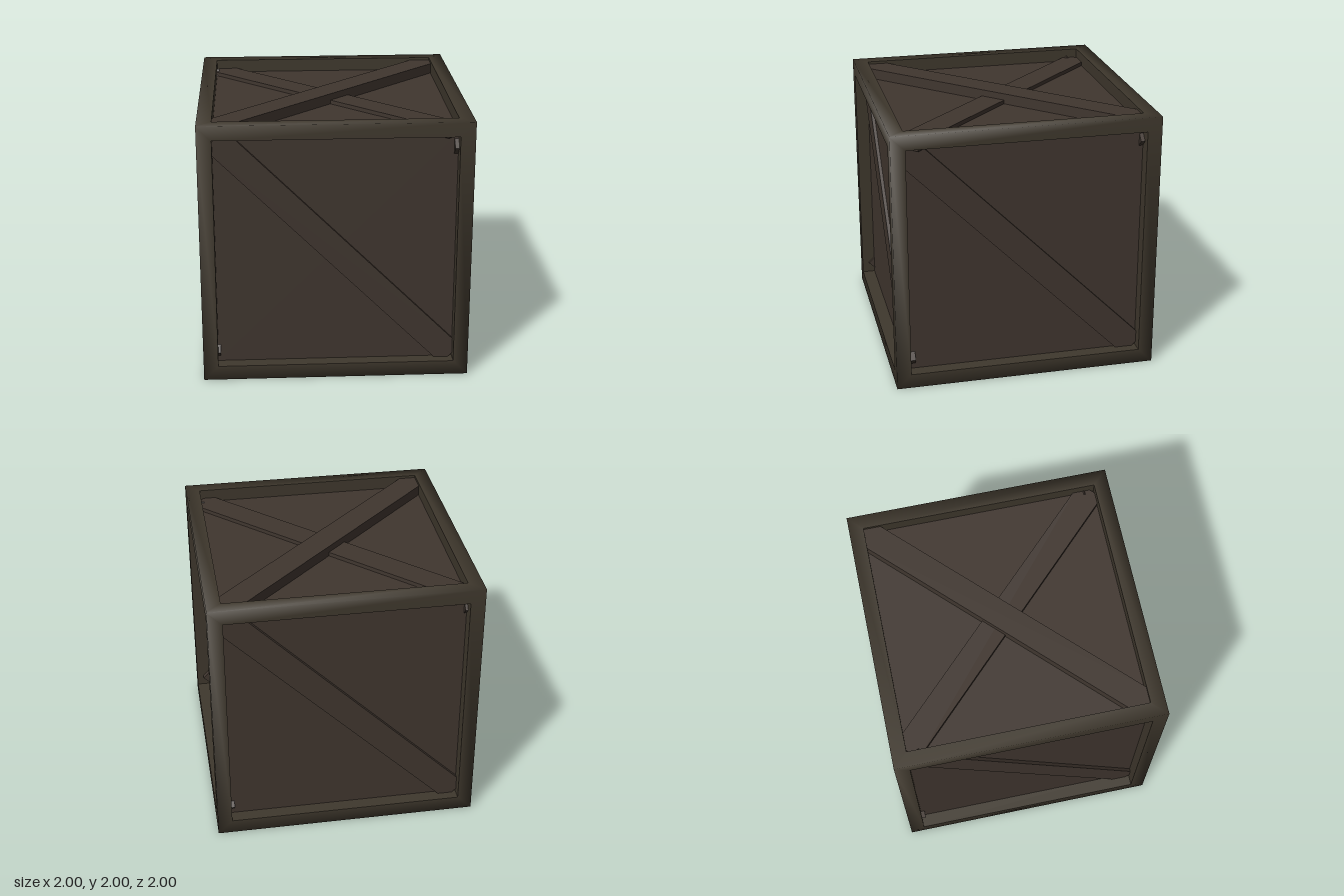
import * as THREE from 'three';

const wood = new THREE.MeshStandardMaterial({ color: 0x40362f });
wood.name = 'dark wood';
const frameWood = new THREE.MeshStandardMaterial({ color: 0x3f382d });
frameWood.name = 'frame wood';

const OPEN = 0.89;   // half size of each opening
const PANEL = 0.9;   // distance of the panels from the centre
const S = [[-1, -1], [1, -1], [1, 1], [-1, 1]];

// Four quads joining square a (half size ra at height za) to square b
function squareRing(ra, za, rb, zb, smooth) {
  const pos = [], index = [], nor = [];
  for (let i = 0; i < 4; i++) {
    const p = S[i], q = S[(i + 1) % 4], k = i * 4;
    pos.push(p[0] * ra, p[1] * ra, za, q[0] * ra, q[1] * ra, za,
      q[0] * rb, q[1] * rb, zb, p[0] * rb, p[1] * rb, zb);
    const d = 1 / Math.sqrt(3);
    nor.push(p[0] * d, p[1] * d, d, q[0] * d, q[1] * d, d, 0, 0, 1, 0, 0, 1);
    index.push(k, k + 1, k + 2, k, k + 2, k + 3);
  }
  const g = new THREE.BufferGeometry();
  g.setAttribute('position', new THREE.Float32BufferAttribute(pos, 3));
  g.setIndex(index);
  // smooth: shading rolls softly over the outer cube edges
  if (smooth) g.setAttribute('normal', new THREE.Float32BufferAttribute(nor, 3));
  else g.computeVertexNormals();
  return g;
}

function add(parent, name, geometry, material) {
  const m = new THREE.Mesh(geometry, material);
  m.name = name;
  parent.add(m);
  return m;
}

// Diagonal plank; dir -1 runs down to the right, +1 up to the right
function brace(parent, name, dir, offset, z0, z1, half = 1.237) {
  const m = add(parent, name, new THREE.BoxGeometry(half * 2, 0.204, z1 - z0), wood);
  m.rotation.z = dir * Math.PI / 4;
  m.position.set(-dir * offset / 2, offset / 2, (z0 + z1) / 2);
}

// One side of the crate, built facing +z
function side(name, rx, ry) {
  const g = new THREE.Group();
  g.name = name;
  g.rotation.set(rx, ry, 0);
  g.position.y = 1;
  add(g, 'frameFace', squareRing(1, 1, OPEN, 1, true), frameWood);
  add(g, 'frameInnerWall', squareRing(OPEN, 1, OPEN, 0.88, false), frameWood);
  add(g, 'panel', new THREE.PlaneGeometry(1.8, 1.8), wood).position.z = PANEL;
  return g;
}

export function createModel() {
  const crate = new THREE.Group();
  crate.name = 'crate';

  // Four upright sides, each with one diagonal brace
  const walls = [['front', 0.005, 0.845, 0.925], ['right', -0.02, 0.86, 0.925],
    ['back', 0, 0.86, 0.93], ['left', 0, 0.87, 0.925]];
  walls.forEach(([name, offset, z0, z1], i) => {
    const s = side(name + 'Side', 0, i * Math.PI / 2);
    brace(s, name + 'Brace', -1, offset, z0, z1);
    crate.add(s);
  });

  // Lid with crossed braces, one laid over the other
  const top = side('topSide', -Math.PI / 2, 0);
  brace(top, 'lowerTopBrace', -1, 0.02, 0.86, 0.93);
  brace(top, 'upperTopBrace', 1, 0.015, 0.88, 0.98, 1.27);
  crate.add(top);

  // Plain underside
  crate.add(side('bottomSide', Math.PI / 2, 0));
  return crate;
}
